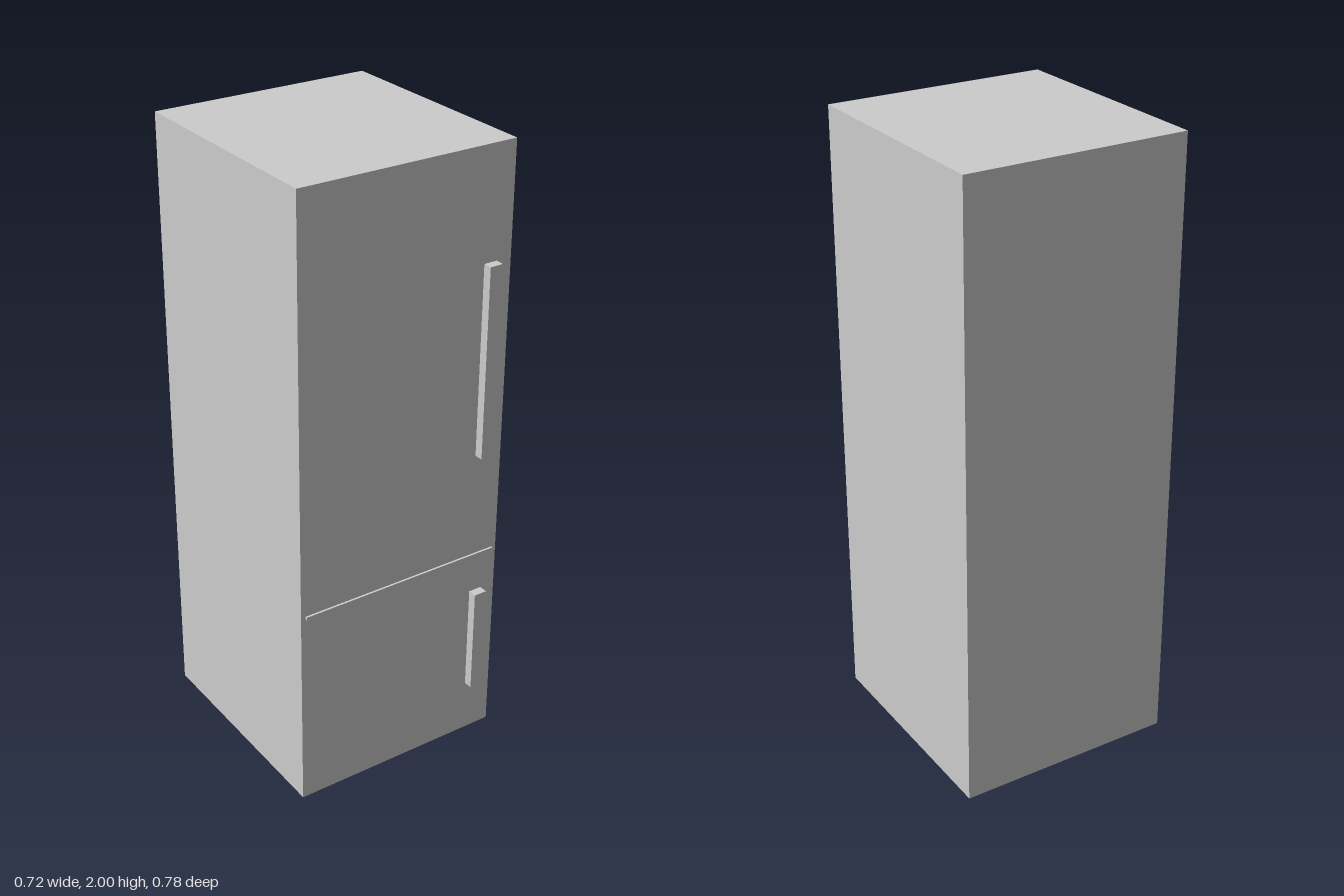
import * as THREE from 'three';

const material = new THREE.MeshStandardMaterial({ color: 0xcccccc });

// Box given by its minimum and maximum corners
function block(name, [x0, y0, z0], [x1, y1, z1]) {
  const mesh = new THREE.Mesh(new THREE.BoxGeometry(x1 - x0, y1 - y0, z1 - z0), material);
  mesh.name = name;
  mesh.position.set((x0 + x1) / 2, (y0 + y1) / 2, (z0 + z1) / 2);
  return mesh;
}

export function createModel() {
  const fridge = new THREE.Group();
  fridge.name = 'refrigerator';
  const front = 0.362;

  // Cabinet
  fridge.add(block('cabinet', [-0.36, 0, -0.391], [0.36, 2, front]));

  // Raised strip between the two doors
  fridge.add(block('doorDivider', [-0.344, 0.666, front - 0.005], [0.344, 0.676, 0.369]));

  // Bar handles, upper and lower door
  for (const [name, bottom, top] of [['upperHandle', 1.026, 1.647], ['lowerHandle', 0.18, 0.537]]) {
    fridge.add(block(name, [0.265, bottom, front - 0.005], [0.309, top, 0.391]));
  }

  return fridge;
}
